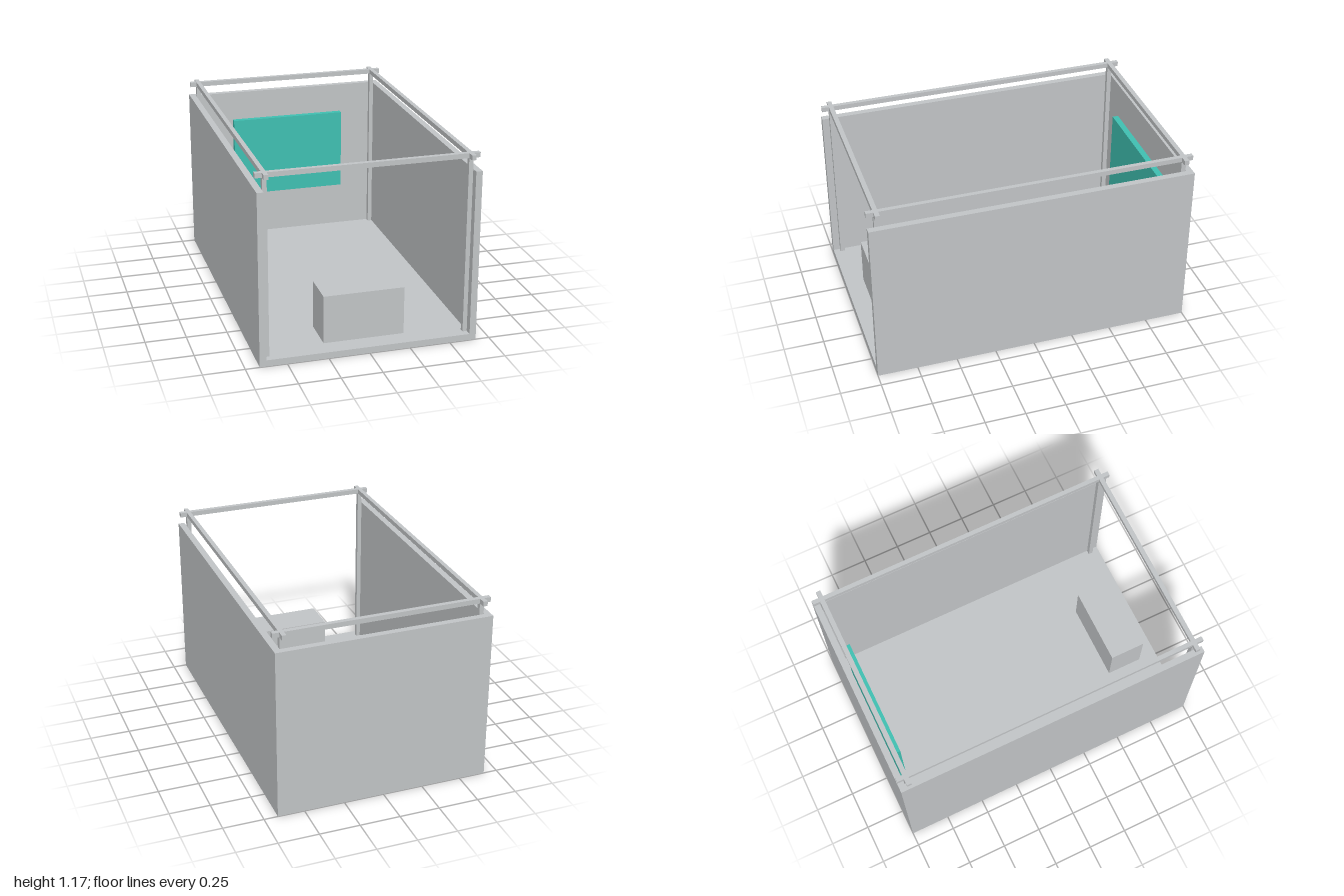
import * as THREE from 'three';

export function createModel() {
  const model = new THREE.Group();
  const grey = new THREE.MeshStandardMaterial({ color: 0xc3c6c8 });
  grey.name = 'light grey';
  const teal = new THREE.MeshStandardMaterial({ color: 0x40c1b3 });
  teal.name = 'teal';

  // Box given by its lower and upper corners
  const box = (name, [x0, y0, z0], [x1, y1, z1], material = grey) => {
    const mesh = new THREE.Mesh(new THREE.BoxGeometry(x1 - x0, y1 - y0, z1 - z0), material);
    mesh.position.set((x0 + x1) / 2, (y0 + y1) / 2, (z0 + z1) / 2);
    mesh.name = name;
    model.add(mesh);
  };

  const W = 0.665, D = 1, H = 1.07, T = 0.04; // half width, half depth, wall height, thickness
  const railY = 1.14, topY = 1.17;            // underside and top of the truss rails
  const px = 0.61, pz = 0.942;                // post centres
  const rx = 0.0135, rz = 0.0145;             // half thickness of posts and rails

  // Room shell, open at the front and top
  box('floor', [-W, 0, -D], [W, T, D]);
  box('backWall', [-W + T, T, -D], [W - T, H, -D + T]);
  box('rightWall', [-W, T, -D], [-W + T, H, D]);
  box('leftWall', [W - T, T, -D], [W, H, D]);

  // Corner posts and the rails that cross above them
  for (const sx of [-1, 1]) {
    const x = sx * px;
    for (const sz of [-1, 1]) {
      const z = sz * pz;
      box('cornerPost', [x - rx, T, z - rz], [x + rx, railY, z + rz]);
    }
    box('sideRail', [x - rx, railY, -D], [x + rx, topY, D]);
  }
  for (const sz of [-1, 1]) {
    const z = sz * pz;
    box('crossRail', [-W, railY, z - rz], [W, topY, z + rz]);
  }

  // Screen near the back wall and the block near the entrance
  box('screen', [-0.38, 0.353, -0.93], [0.38, 0.888, -0.892], teal);
  box('counter', [-0.249, T, 0.65], [0.249, 0.341, 0.88]);

  return model;
}
